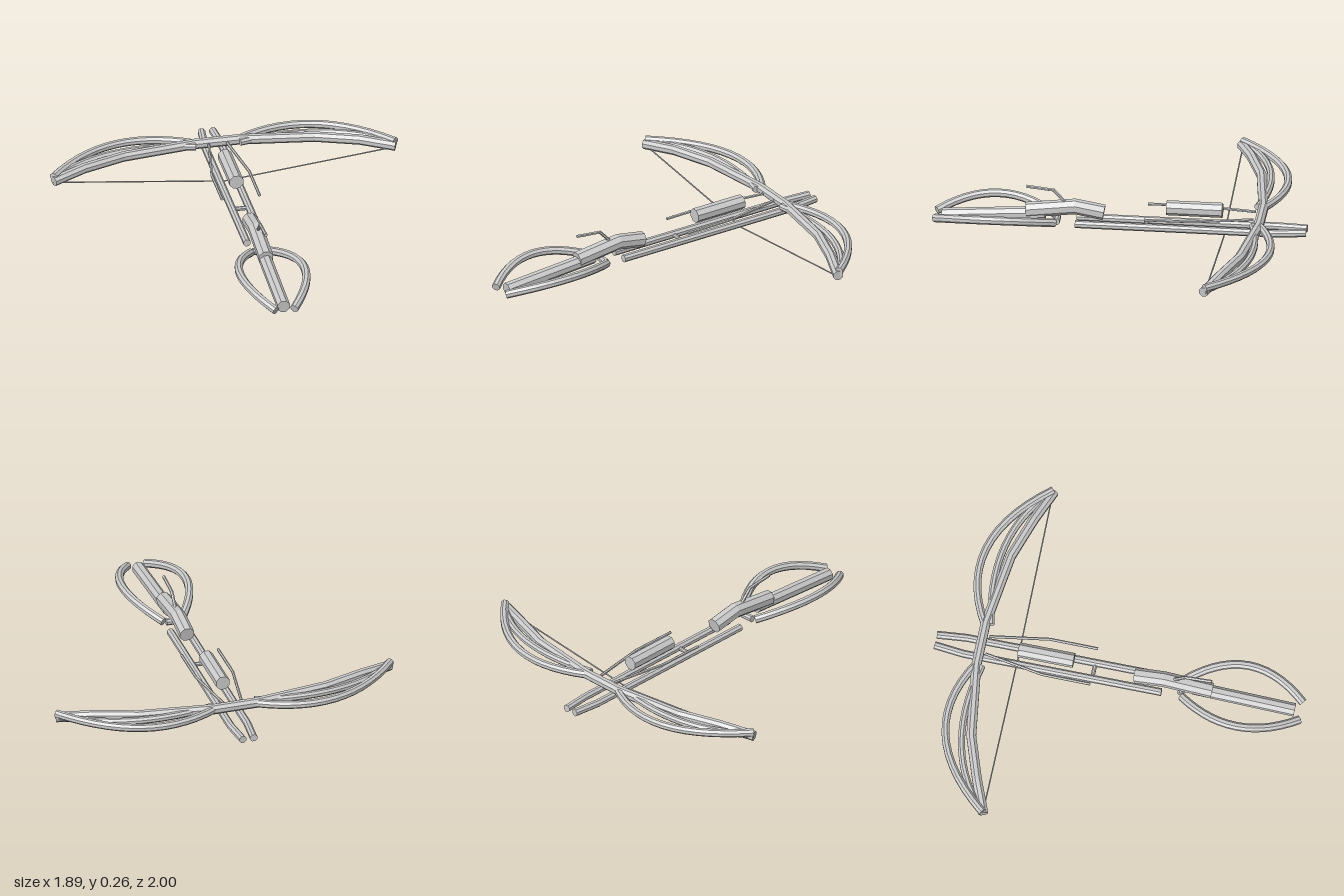
import * as THREE from 'three';

const metal = new THREE.MeshStandardMaterial({ color: 0xcccccc, flatShading: true });
metal.name = 'light grey metal';

// Capped faceted rod following a list of [x, y, z] points
function rod(name, points, radius, sides = 8) {
  const pts = points.map(p => (p.isVector3 ? p : new THREE.Vector3(...p)));
  const up = new THREE.Vector3(0, 1, 0);
  const pos = [], index = [];
  pts.forEach((p, i) => {
    const t = new THREE.Vector3();
    if (i > 0) t.add(p.clone().sub(pts[i - 1]).normalize());
    if (i < pts.length - 1) t.add(pts[i + 1].clone().sub(p).normalize());
    t.normalize();
    const s = up.clone().cross(t).normalize();
    const u = t.clone().cross(s);
    for (let j = 0; j < sides; j++) {
      const a = ((j + 0.5) / sides) * Math.PI * 2;
      const v = p.clone().addScaledVector(s, Math.cos(a) * radius).addScaledVector(u, Math.sin(a) * radius);
      pos.push(v.x, v.y, v.z);
    }
  });
  const last = (pts.length - 1) * sides;
  const c0 = pts.length * sides, c1 = c0 + 1;
  pos.push(...pts[0].toArray(), ...pts[pts.length - 1].toArray());
  for (let j = 0; j < sides; j++) {
    const k = (j + 1) % sides;
    for (let r = 0; r < last; r += sides) {
      index.push(r + j, r + k, r + sides + j, r + k, r + sides + k, r + sides + j);
    }
    index.push(c0, k, j, c1, last + j, last + k);
  }
  const indexed = new THREE.BufferGeometry();
  indexed.setAttribute('position', new THREE.Float32BufferAttribute(pos, 3));
  indexed.setIndex(index);
  const geo = indexed.toNonIndexed();
  geo.computeVertexNormals();
  const mesh = new THREE.Mesh(geo, metal);
  mesh.name = name;
  return mesh;
}

// Points along a quadratic arc
const arc = (a, b, c, n = 14) => new THREE.QuadraticBezierCurve3(
  new THREE.Vector3(...a), new THREE.Vector3(...b), new THREE.Vector3(...c)).getPoints(n);

export function createModel() {
  const model = new THREE.Group();
  model.name = 'crossbow';

  // Front limb: one bar across the whole bow
  const half = [[0.12, 0.135, -0.755], [0.52, 0.135, -0.7], [0.75, 0.133, -0.622], [0.93, 0.114, -0.55]];
  const mirrored = half.map(([x, y, z]) => [-x, y, z]).reverse();
  model.add(rod('mainLimb', [...mirrored, ...half], 0.028));

  for (const s of [1, -1]) {
    const side = s > 0 ? 'left' : 'right';

    // Curved limbs behind the main one
    model.add(rod(side + 'OuterLimb',
      arc([s * 0.11, 0.135, -0.755], [s * 0.55, 0.135, -1.02], [s * 0.93, 0.138, -0.555]), 0.022));
    model.add(rod(side + 'MiddleLimb',
      arc([s * 0.12, 0.135, -0.725], [s * 0.62, 0.135, -0.845], [s * 0.93, 0.125, -0.555]), 0.02));

    // Bowstring half
    model.add(rod(side + 'String', [[s * 0.93, 0.105, -0.555], [0, 0.005, -0.555]], 0.004, 6));

    // Long rail, bent inward at the nose
    model.add(rod(side + 'Rail',
      [[s * 0.046, 0.063, 0.235], [s * 0.046, 0.063, -0.84], [s * 0.03, 0.066, -1]], 0.021));

    // Thin side wire
    model.add(rod(side + 'Wire',
      [[s * 0.05, 0.14, -0.72], [s * 0.102, 0.135, -0.4], [s * 0.102, 0.132, -0.14]], 0.008, 6));

    // Bowed stock arm
    model.add(rod(side + 'StockArm',
      arc([s * 0.05, 0.066, 0.345], [s * 0.3, 0.178, 0.67], [s * 0.05, 0.062, 0.985]), 0.023));
  }

  // Crosspieces joining the rails and the stock arms
  model.add(rod('railCrosspiece', [[-0.046, 0.063, -0.142], [0.046, 0.063, -0.142]], 0.012));
  model.add(rod('stockCrosspiece', [[-0.037, 0.066, 0.337], [0.037, 0.066, 0.337]], 0.019));

  // Barrel above the rails
  model.add(rod('barrel', [[0, 0.163, -0.25], [0, 0.163, -0.55]], 0.04));

  // Bent body, handle and cocking lever
  model.add(rod('body', [[0, 0.118, 0.085], [0, 0.145, 0.24], [0, 0.112, 0.5]], 0.042));
  model.add(rod('handle', [[0, 0.1, 0.4], [0, 0.061, 0.95]], 0.036));
  model.add(rod('lever', [[0, 0.165, 0.29], [0, 0.235, 0.355], [0, 0.25, 0.5]], 0.009, 6));

  return model;
}
